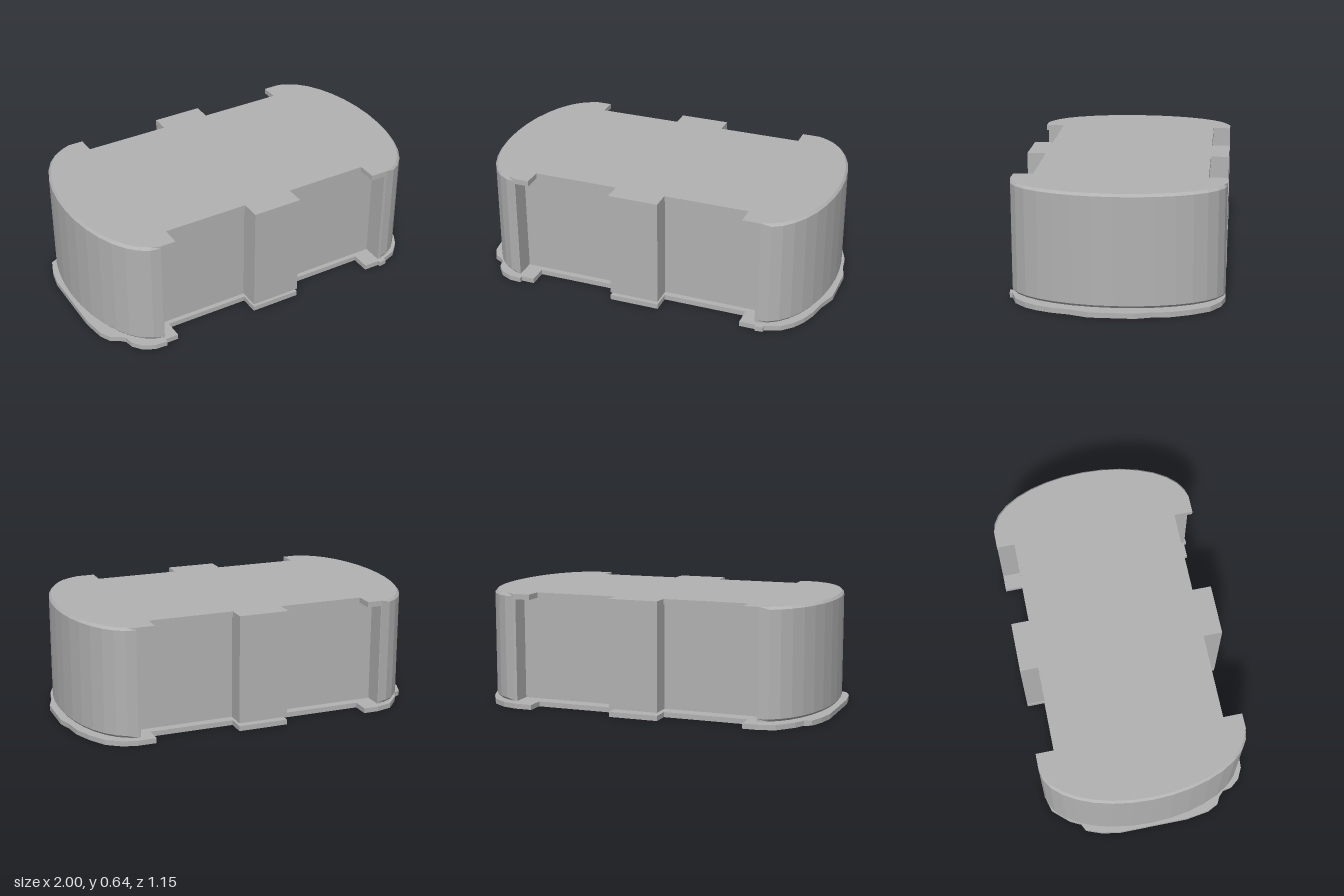
import * as THREE from 'three';

// Extrudes an x/z outline upward from y0 to y1.
function slab(name, outline, y0, y1, material) {
  const shape = new THREE.Shape(outline.map(([x, z]) => new THREE.Vector2(x, -z)));
  const geometry = new THREE.ExtrudeGeometry(shape, { depth: y1 - y0, bevelEnabled: false });
  geometry.rotateX(-Math.PI / 2).translate(0, y0, 0);
  const mesh = new THREE.Mesh(geometry, material);
  mesh.name = name;
  return mesh;
}

// Pulls the rounded ends inward at one height to form a chamfer.
function chamferEnds(mesh, atY, amount) {
  const p = mesh.geometry.attributes.position;
  for (let i = 0; i < p.count; i++) {
    const x = p.getX(i);
    if (Math.abs(p.getY(i) - atY) > 0.001 || Math.abs(x) < 0.725) continue;
    p.setX(i, x - Math.sign(x) * amount);
    p.setZ(i, p.getZ(i) * (1 - amount));
  }
  mesh.geometry.computeVertexNormals();
  return mesh;
}

// Half-ellipse end cap from the front edge to the back edge (left) or the reverse.
const FRONT = 0.555, BACK = -0.575;
function endArc(side, xStart, xTip, steps = 16) {
  const points = [];
  const mid = (FRONT + BACK) / 2, half = (FRONT - BACK) / 2;
  for (let i = 0; i <= steps; i++) {
    const a = Math.PI * i / steps;
    points.push([xStart + (xTip - xStart) * Math.sin(a), mid - side * half * Math.cos(a)]);
  }
  return side > 0 ? points : points.reverse().map(([x, z]) => [x, z]).reverse();
}

// Outline with two recesses on each long side, divided by a central pillar.
function outline(leftEnd, rightEnd, negX, posX, inset) {
  const f = 0.45 - inset, b = -0.475 + inset;
  return [
    ...leftEnd,
    [posX, BACK], [posX, b], [0.13, b], [0.13, BACK],
    [-0.15, BACK], [-0.15, b], [negX, b], [negX, BACK],
    ...rightEnd,
    [negX, FRONT], [negX, f], [-0.15, f], [-0.15, FRONT],
    [0.13, FRONT], [0.13, f], [posX, f], [posX, FRONT],
  ];
}

export function createModel() {
  const group = new THREE.Group();
  group.name = 'notchedCase';
  const grey = new THREE.MeshStandardMaterial({ color: 0xb2b2b2 });
  grey.name = 'grey';

  // End caps: +x runs front to back, -x runs back to front
  const posEnd = endArc(-1, 0.70, 0.98);
  const negEnd = endArc(1, -0.71, -0.99);

  // Main walls, slightly recessed beneath the lid
  const walls = outline(posEnd, negEnd, -0.705, 0.685, 0.008);
  group.add(slab('walls', walls, 0.058, 0.615, grey));
  group.add(chamferEnds(slab('bodyFloor', walls, 0.045, 0.058, grey), 0.045, 0.01));

  // Lid with overhanging corner tabs and softened ends
  const lid = outline(posEnd, negEnd, -0.625, 0.60, 0);
  group.add(slab('lidRim', lid, 0.615, 0.631, grey));
  group.add(chamferEnds(slab('lidTop', lid, 0.631, 0.645, grey), 0.645, 0.012));

  // Loose base plate with a wavy edge
  const basePos = [
    [0.69, 0.555], [0.69, 0.57], [0.735, 0.565], [0.735, 0.55], [0.82, 0.52],
    [0.88, 0.46], [0.915, 0.4], [0.945, 0.32], [0.965, 0.22], [1, 0.12],
    [1, -0.12], [0.975, -0.2], [0.96, -0.3], [0.92, -0.4], [0.86, -0.5],
    [0.78, -0.555], [0.7, BACK],
  ];
  const baseNeg = [
    [-0.71, BACK], [-0.8, -0.55], [-0.88, -0.46], [-0.91, -0.4], [-0.95, -0.38],
    [-0.98, -0.3], [-1, -0.2], [-1, 0.2], [-0.98, 0.33], [-0.95, 0.39],
    [-0.91, 0.41], [-0.88, 0.44], [-0.87, 0.49], [-0.83, 0.54], [-0.77, 0.57],
    [-0.7, 0.575], [-0.7, 0.555],
  ];
  group.add(slab('basePlate', outline(basePos, baseNeg, -0.625, 0.60, 0), 0, 0.028, grey));

  return group;
}
